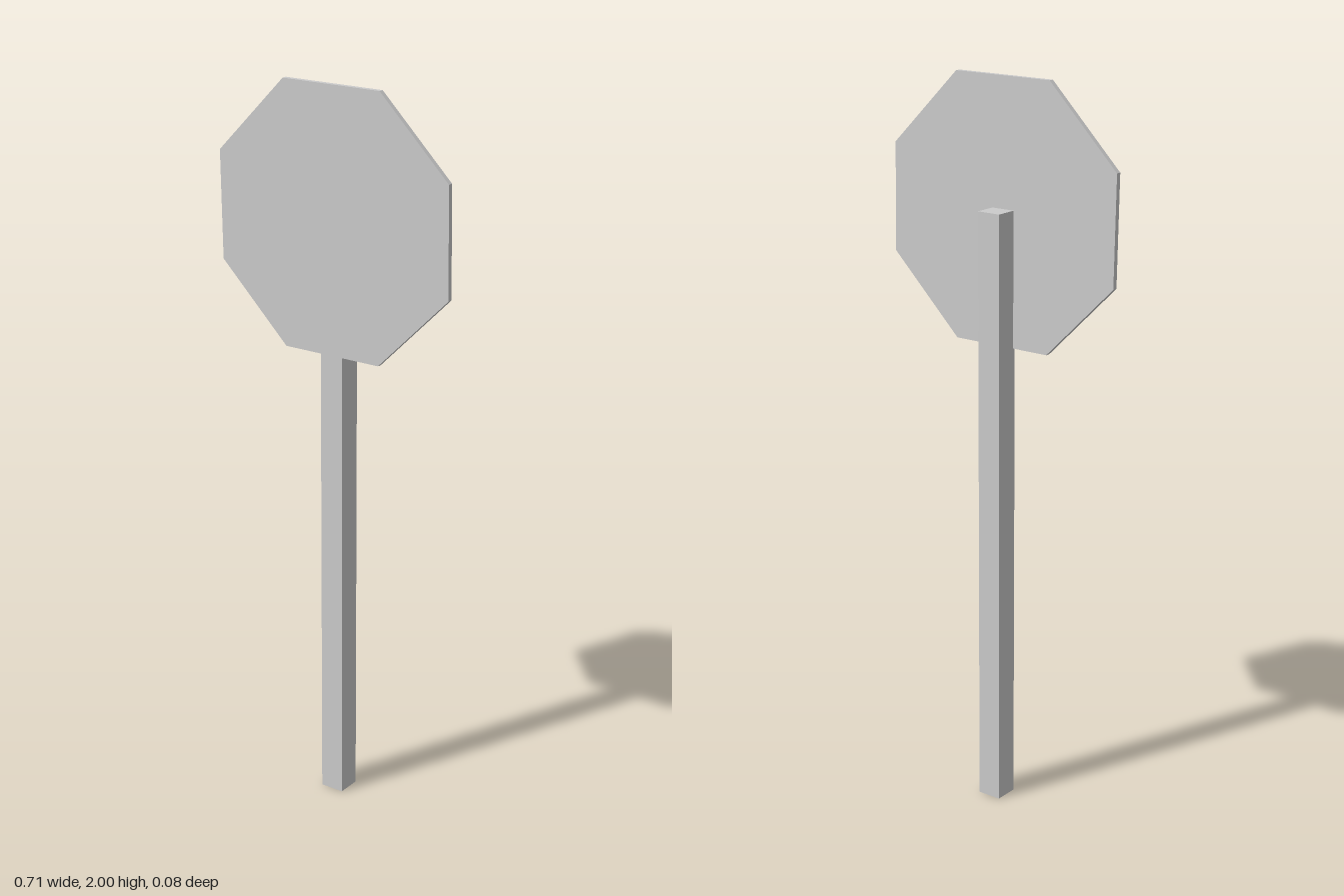
import * as THREE from 'three';

export function createModel() {
  const model = new THREE.Group();
  const material = new THREE.MeshStandardMaterial({ color: 0xcccccc, flatShading: true });

  // Square post, its front face sunk into the plate
  const post = new THREE.Mesh(new THREE.BoxGeometry(0.068, 1.657, 0.068), material);
  post.name = 'post';
  post.position.set(-0.006, 1.657 / 2, -0.005);
  model.add(post);

  // Slightly irregular octagonal plate
  const outline = [
    [0.146, 1.29], [0.356, 1.5], [0.351, 1.795], [0.145, 2],
    [-0.151, 2], [-0.358, 1.79], [-0.353, 1.495], [-0.147, 1.29],
  ].map(([x, y]) => new THREE.Vector2(x, y));
  const plate = new THREE.Mesh(
    new THREE.ExtrudeGeometry(new THREE.Shape(outline), { depth: 0.014, bevelEnabled: false }),
    material
  );
  plate.name = 'signPlate';
  plate.position.z = 0.022;
  model.add(plate);

  return model;
}
